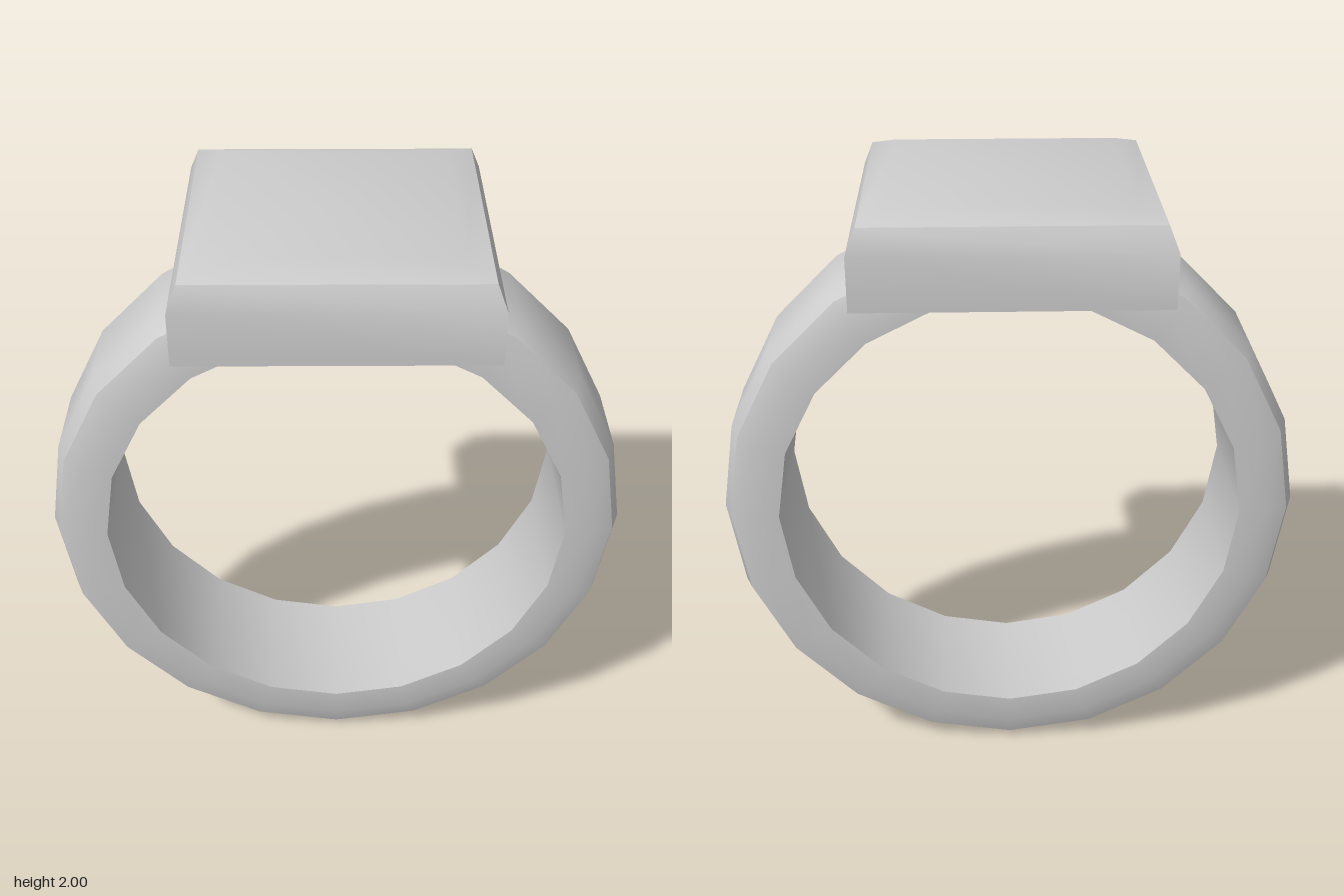
import * as THREE from 'three';
import { toCreasedNormals } from 'three/addons/utils/BufferGeometryUtils.js';

const material = new THREE.MeshStandardMaterial({ color: 0xcccccc });
const CREASE = THREE.MathUtils.degToRad(35);

// Revolves a [radius, height] profile, keeping strong edges sharp
function revolve(name, profile, sides, phiStart = 0) {
  const points = profile.map(([r, y]) => new THREE.Vector2(r, y));
  const geometry = new THREE.LatheGeometry(points, sides, phiStart);
  const mesh = new THREE.Mesh(toCreasedNormals(geometry, CREASE), material);
  mesh.name = name;
  return mesh;
}

export function createModel() {
  const group = new THREE.Group();
  group.name = 'signetRing';

  // Band: 20-sided hoop with rounded outer edges and a straight bore
  const halfProfile = [[0.745, 0.23], [0.835, 0.23], [0.902, 0.207], [0.929, 0.14]];
  const bandProfile = [
    ...halfProfile.map(([r, z]) => [r, -z]),
    ...[...halfProfile].reverse(),
    [0.745, -0.23],
  ];
  const band = revolve('band', bandProfile, 20);
  band.rotation.x = Math.PI / 2;
  band.position.y = 0.933;
  group.add(band);

  // Plate: square block with a softened top rim, as a four-sided revolve
  const plateProfile = [
    [0, 1.73], [0.465, 1.73], [0.465, 1.895], [0.435, 1.97], [0.355, 2], [0, 2],
  ].map(([half, y]) => [half * Math.SQRT2, y]);
  // doubled bottom corner is unnecessary: the crease angle splits it
  group.add(revolve('topPlate', plateProfile, 4, Math.PI / 4));

  return group;
}
